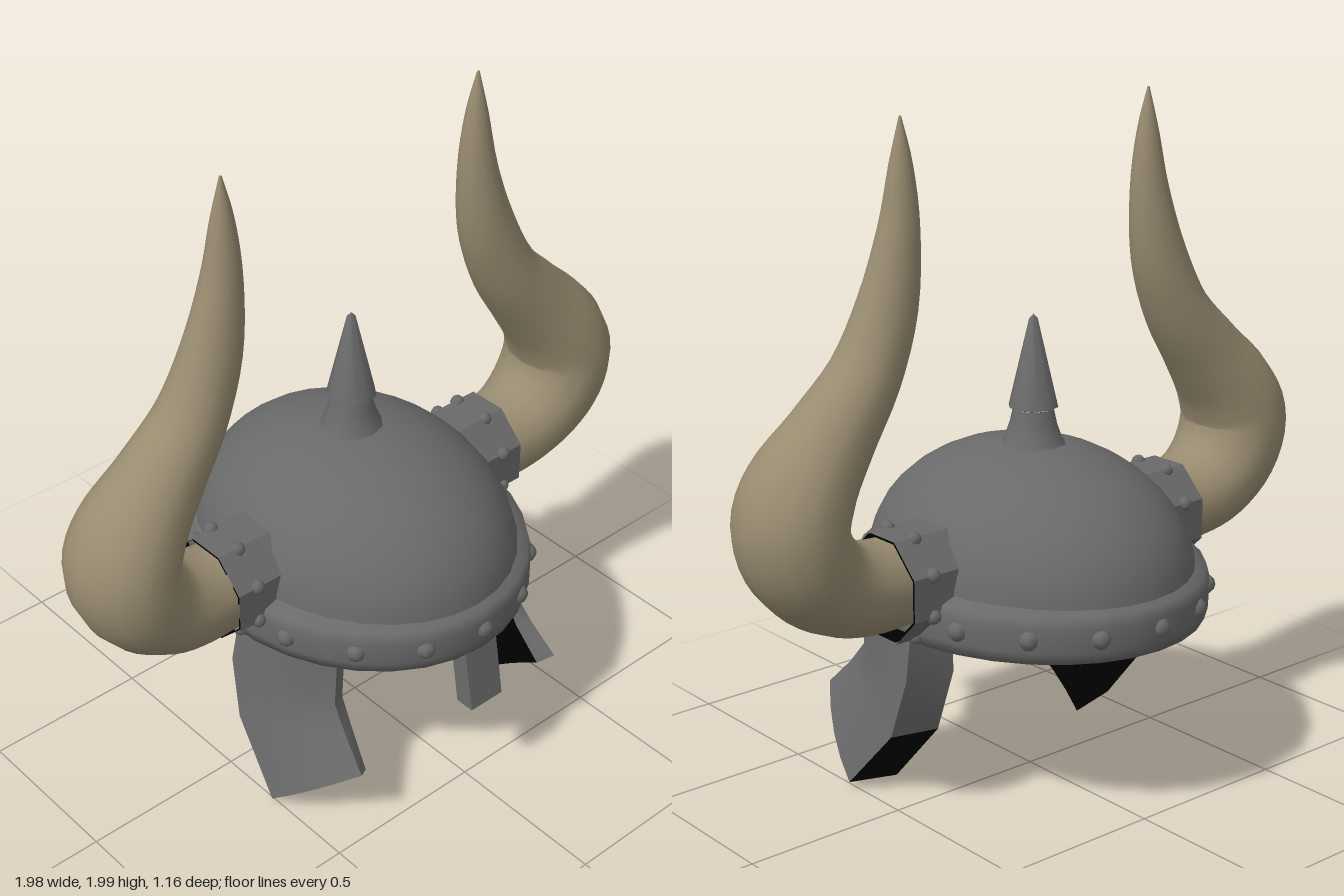
import * as THREE from 'three';
import { toCreasedNormals } from 'three/addons/utils/BufferGeometryUtils.js';

const DOME_WIDTH = 0.83; // helmet is narrower in x than in z
const BAND_WIDTH = 0.87;

// Skin a list of cross-sections (rows of [x, y, z])
function skin(rows, closed, flip) {
  const n = rows[0].length, index = [];
  for (let i = 0; i < rows.length - 1; i++) {
    for (let j = 0; j < (closed ? n : n - 1); j++) {
      const k = (j + 1) % n;
      const a = i * n + j, b = i * n + k, c = (i + 1) * n + k, d = (i + 1) * n + j;
      if (flip) index.push(a, c, b, a, d, c);
      else index.push(a, b, c, a, c, d);
    }
  }
  const g = new THREE.BufferGeometry();
  g.setAttribute('position', new THREE.Float32BufferAttribute(rows.flat(2), 3));
  g.setIndex(index);
  g.computeVertexNormals();
  return g;
}

// Mirror a geometry across x = 0, keeping faces outward
function mirrored(geometry) {
  const g = geometry.index ? geometry.toNonIndexed() : geometry.clone();
  for (const name of ['position', 'normal']) {
    const a = g.attributes[name];
    for (let i = 0; i < a.count; i++) a.setX(i, -a.getX(i));
  }
  const order = [];
  for (let i = 0; i < g.attributes.position.count; i += 3) order.push(i, i + 2, i + 1);
  g.setIndex(order);
  return g;
}

function lathe(points, segments, sx = 1) {
  const g = new THREE.LatheGeometry(points.map(p => new THREE.Vector2(...p)), segments);
  return g.scale(sx, 1, 1);
}

function hornGeometry() {
  // x, y, in-plane radius, depth radius
  const stations = [
    [0.46, 0.712, 0.128, 0.128], [0.60, 0.716, 0.132, 0.145], [0.715, 0.752, 0.14, 0.16],
    [0.803, 0.833, 0.15, 0.174], [0.838, 0.938, 0.152, 0.178], [0.80, 1.045, 0.145, 0.165],
    [0.70, 1.17, 0.122, 0.13], [0.582, 1.32, 0.10, 0.104], [0.502, 1.50, 0.088, 0.08],
    [0.46, 1.70, 0.06, 0.056], [0.45, 1.87, 0.034, 0.032], [0.45, 2.0, 0.003, 0.003]];
  const curve = points => new THREE.CatmullRomCurve3(points, false, 'catmullrom');
  const path = curve(stations.map(s => new THREE.Vector3(s[0], s[1], 0)));
  const size = curve(stations.map(s => new THREE.Vector3(s[2], s[3], 0)));
  const steps = 44, sides = 16, rows = [];
  for (let i = 0; i <= steps; i++) {
    const t = i / steps, p = path.getPoint(t), r = size.getPoint(t), d = path.getTangent(t);
    rows.push(Array.from({ length: sides }, (_, j) => {
      const a = j / sides * Math.PI * 2, c = Math.cos(a) * r.x;
      return [p.x - d.y * c, p.y + d.x * c, Math.sin(a) * r.y];
    }));
  }
  return skin(rows, true, false);
}

// Octagonal sleeve whose inner end follows the slope of the dome
function collarGeometry(radius) {
  const g = new THREE.CylinderGeometry(radius, radius, 0.16, 8, 1, true);
  g.rotateY(Math.PI / 8).rotateZ(-Math.PI / 2).translate(0.47, 0.705, -0.01);
  const p = g.attributes.position;
  for (let i = 0; i < p.count; i++) {
    if (p.getX(i) < 0.47) p.setX(i, 0.405 - (p.getY(i) - 0.705) * 0.3);
  }
  return toCreasedNormals(g, 0.5);
}

export function createModel() {
  const model = new THREE.Group();
  const metal = new THREE.MeshStandardMaterial({ color: 0x6a6a6a });
  const horn = new THREE.MeshStandardMaterial({ color: 0x988b70 });
  const inside = new THREE.MeshStandardMaterial({ color: 0x000000, side: THREE.DoubleSide });
  metal.name = 'metal';
  horn.name = 'horn';
  inside.name = 'dark lining';

  const add = (name, geometry, material) => {
    const m = new THREE.Mesh(geometry, material);
    m.name = name;
    model.add(m);
    return m;
  };
  const addPair = (name, geometry, material, rightMaterial = material) => {
    add(name + 'Left', geometry, material);
    add(name + 'Right', mirrored(geometry), rightMaterial);
  };

  // Dome and its lining
  const dome = (r, h, n = 10) => Array.from({ length: n + 1 }, (_, i) => {
    const a = i / n * Math.PI / 2;
    return [Math.max(r * Math.cos(a), 0), 0.65 + h * Math.sin(a)];
  });
  add('dome', lathe(dome(0.53, 0.38), 32, DOME_WIDTH), metal);
  add('lining', lathe([...dome(0.51, 0.36).reverse(), [0.515, 0.545]], 32, DOME_WIDTH), inside);

  // Softly rounded brow band
  add('browBand', lathe(
    [[0.485, 0.54], [0.55, 0.54], [0.56, 0.575], [0.56, 0.64], [0.55, 0.675], [0.50, 0.692]], 32, BAND_WIDTH), metal);

  // Low rivets around the band
  const rivet = new THREE.SphereGeometry(0.03, 8, 6);
  for (let i = 0; i < 16; i++) {
    const a = i / 16 * Math.PI * 2;
    add('bandRivet', rivet, metal).position.set(Math.sin(a) * 0.548 * BAND_WIDTH, 0.61, Math.cos(a) * 0.548);
  }

  // Top spike on a flared foot
  add('spikeFoot', lathe([[0.11, 1.0], [0.088, 1.03], [0.07, 1.08], [0.06, 1.125]], 10).translate(0, 0, -0.015), metal);
  add('spike', toCreasedNormals(
    lathe([[0.04, 1.12], [0.073, 1.13], [0.013, 1.385], [0, 1.4]], 10), 0.8).translate(0, 0, -0.015), metal);

  // Nose guard, leaning forward at the bottom
  const nose = new THREE.BoxGeometry(0.12, 0.23, 0.06);
  const np = nose.attributes.position;
  for (let i = 0; i < np.count; i++) np.setZ(i, np.getZ(i) - np.getY(i) * 0.17);
  nose.computeVertexNormals();
  add('noseGuard', nose.translate(0, 0.465, 0.528), metal);

  // Horns, hollow collars and collar rivets
  addPair('horn', hornGeometry(), horn);
  addPair('hornCollar', collarGeometry(0.162), metal);
  addPair('collarLining', collarGeometry(0.155), inside);
  const collarRivet = new THREE.SphereGeometry(0.022, 8, 6);
  for (let i = 0; i < 8; i++) {
    const a = (i + 0.5) / 8 * Math.PI * 2;
    for (const s of [-1, 1]) {
      add('collarRivet', collarRivet, metal)
        .position.set(s * 0.48, 0.705 + Math.cos(a) * 0.156, -0.01 + Math.sin(a) * 0.156);
    }
  }

  // Cheek guards: four corner lines running downward
  const front = [[0.365, 0.58, 0.34], [0.367, 0.39, 0.33], [0.377, 0.32, 0.385], [0.393, 0.23, 0.475]];
  const frontInner = [[0.33, 0.58, 0.33], [0.33, 0.39, 0.32], [0.335, 0.31, 0.365], [0.35, 0.205, 0.445]];
  const rear = [[0.44, 0.58, 0.0], [0.47, 0.40, -0.01], [0.49, 0.22, 0.04], [0.515, 0.025, 0.215]];
  const rearInner = [[0.31, 0.58, -0.02], [0.315, 0.40, -0.03], [0.335, 0.21, 0.02], [0.36, 0.01, 0.19]];
  const span = (from, to, bulge) => from.map((f, i) => [0, 0.25, 0.5, 0.75, 1].map(t => {
    const p = f.map((v, k) => v + (to[i][k] - v) * t);
    p[0] += bulge * 4 * t * (1 - t);
    return p;
  }));
  const join = (a, b) => a.map((p, i) => [p, b[i]]);
  const outer = span(front, rear, 0.02), inner = span(frontInner, rearInner, 0.015);
  const back = join(rear, rearInner);
  addPair('cheekGuard', skin(outer, false, true), metal);
  addPair('cheekLining', skin(inner, false, false), inside);
  addPair('cheekFrontEdge', skin(join(frontInner, front), false, true), metal);
  addPair('cheekRearUpper', skin(back.slice(0, 3), false, true), metal, inside);
  addPair('cheekRearLower', skin(back.slice(2), false, true), inside);
  addPair('cheekBottomFront', skin([outer[3].slice(0, 3), inner[3].slice(0, 3)], false, true), metal);
  addPair('cheekBottomRear', skin([outer[3].slice(2), inner[3].slice(2)], false, true), inside);

  return model;
}
